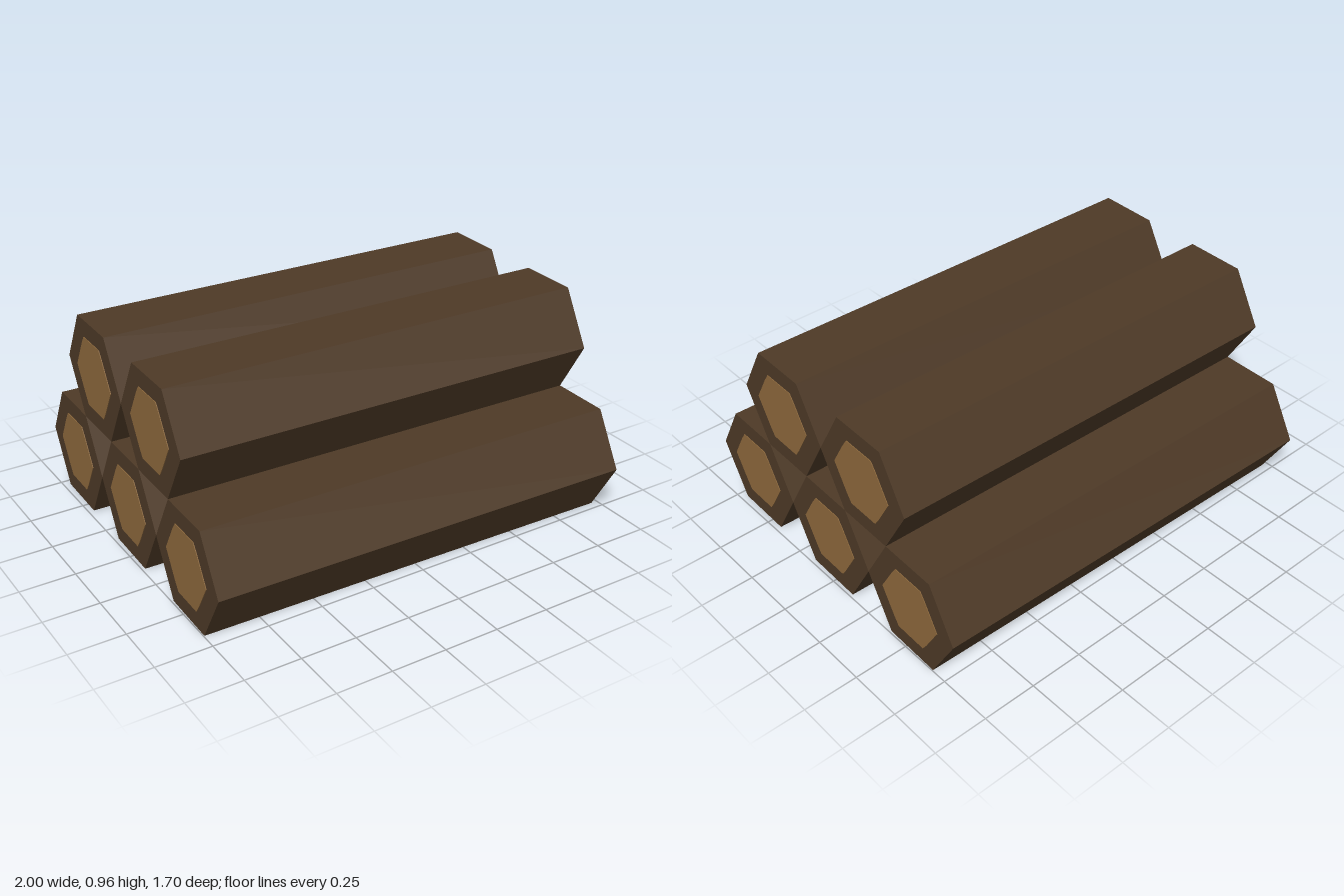
import * as THREE from 'three';

const RADIUS = 0.277;
const LENGTH = 1.966;
const HALF_HEIGHT = RADIUS * Math.sqrt(3) / 2;

export function createModel() {
  const bark = new THREE.MeshStandardMaterial({ color: 0x4e3a27 });
  bark.name = 'darkBark';
  const wood = new THREE.MeshStandardMaterial({ color: 0x8e693c });
  wood.name = 'cutWood';

  // Six-sided log lying along x, flat side down
  const logGeometry = new THREE.CylinderGeometry(RADIUS, RADIUS, LENGTH, 6)
    .rotateZ(Math.PI / 2)
    .toNonIndexed();
  logGeometry.computeVertexNormals();

  // Pale heartwood: thin hexagon with slightly clipped top and bottom corners
  const quarter = [[0.178, 0], [0.106, 0.122], [0.08, 0.16]];
  const upper = [...quarter, ...quarter.map(([x, y]) => [-x, y]).reverse()];
  const lower = upper.slice(1, -1).map(([x, y]) => [x, -y]).reverse();
  const outline = [...upper, ...lower].map(([x, y]) => new THREE.Vector2(x, y));
  const coreGeometry = new THREE.ExtrudeGeometry(new THREE.Shape(outline), {
    depth: 0.003,
    bevelEnabled: false,
  }).rotateY(Math.PI / 2);

  function makeLog(y, z) {
    const log = new THREE.Group();
    log.name = 'log';
    const body = new THREE.Mesh(logGeometry, bark);
    body.name = 'logBark';
    log.add(body);
    for (const side of [1, -1]) {
      const core = new THREE.Mesh(coreGeometry, wood);
      core.name = side > 0 ? 'leftHeartwood' : 'rightHeartwood';
      core.position.x = side * LENGTH / 2;
      if (side < 0) core.rotation.y = Math.PI;
      log.add(core);
    }
    log.position.set(0, y, z);
    return log;
  }

  // Stack: three logs below, two resting above, turned slightly about y
  const pile = new THREE.Group();
  pile.name = 'logPile';
  [3, 2].forEach((count, row) => {
    for (let i = 0; i < count; i++) {
      const z = (i - (count - 1) / 2) * 2 * RADIUS;
      pile.add(makeLog(HALF_HEIGHT * (1 + 2 * row), z));
    }
  });
  pile.rotation.y = -0.0195;

  const model = new THREE.Group();
  model.name = 'stackedLogs';
  model.add(pile);
  return model;
}
